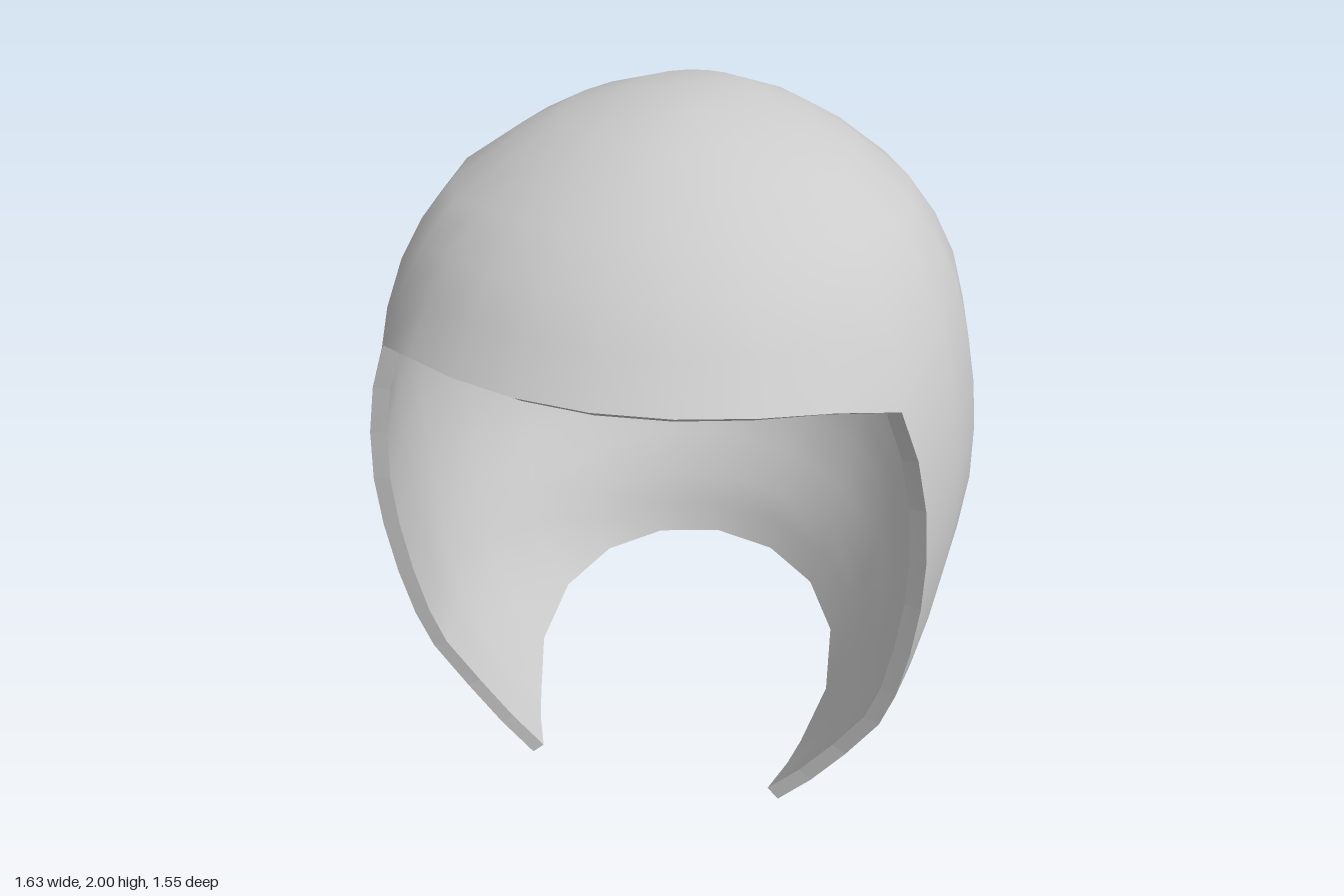
import * as THREE from 'three';

// Horizontal sections, crown to chin: [y, half width, z of widest point, back z, front z]
const SECTIONS = [
  [2.00, 0, -0.10, -0.10, -0.10],
  [1.985, 0.16, -0.09, -0.27, 0.14],
  [1.94, 0.32, -0.06, -0.38, 0.28],
  [1.88, 0.44, -0.04, -0.47, 0.41],
  [1.78, 0.59, 0, -0.585, 0.56],
  [1.68, 0.67, 0.01, -0.655, 0.67],
  [1.57, 0.73, 0.02, -0.71, 0.74],
  [1.44, 0.77, 0.03, -0.745, 0.85],
  [1.25, 0.81, 0.04, -0.765, 0.95],
  [1.03, 0.815, 0.04, -0.755, 1.03],
  [0.80, 0.79, 0.07, -0.70, 1.08],
  [0.55, 0.735, 0.14, -0.56, 1.10],
  [0.37, 0.67, 0.17, -0.52, 1.10],
  [0.15, 0.53, 0.18, -0.48, 0.90],
  [0, 0.41, 0.12, -0.45, 0.70],
];
const FACE_EDGE = [[0, 0.32], [0.2, 0.33], [0.6, 0.385], [1, 0.43], [1.44, 0.46]];      // y -> z
const NECK_EDGE = [[-0.52, 0.36], [-0.35, 0.29], [-0.15, 0.205], [0, 0.13], [0.15, 0.05], [0.32, 0]]; // z -> y
const BROW_Y = 1.44;
const BROW = [1.44, 1.49, 1.51, 1.518, 1.52]; // brow height from the corner to the middle

const WIDEST = 5, CORNER = 7, FRONT = 11;     // column numbers counted from the back
const RING = FRONT * 2, STRIP = CORNER * 2 + 1;
const DOME_ROWS = 7, SIDE_ROWS = 10;
const THICKNESS = 0.045;

const { lerp, clamp } = THREE.MathUtils;

function lookup(table, v) {
  let i = 0;
  while (i < table.length - 2 && v > table[i + 1][0]) i++;
  const [a, b] = [table[i], table[i + 1]];
  return lerp(a[1], b[1], clamp((v - a[0]) / (b[0] - a[0]), 0, 1));
}

function section(t) {
  const i = Math.min(Math.floor(t), SECTIONS.length - 2);
  return SECTIONS[i].map((v, k) => lerp(v, SECTIONS[i + 1][k], t - i));
}

function levelOf(y) {
  let i = 0;
  while (i < SECTIONS.length - 2 && y < SECTIONS[i + 1][0]) i++;
  return i + (SECTIONS[i][0] - y) / (SECTIONS[i][0] - SECTIONS[i + 1][0]);
}

// Angle on a section where the face opening cuts it
function edgeAngle(t) {
  const [y, , zc, , zf] = section(Math.max(t, levelOf(BROW_Y)));
  return Math.asin((lookup(FACE_EDGE, y) - zc) / (zf - zc));
}

// Point on the outer surface; negative columns lie on the -x side
function surfacePoint(column, t) {
  const i = Math.abs(column);
  const [y, w, zc, zb, zf] = section(t);
  const edge = edgeAngle(t);
  let a;
  if (i <= WIDEST) a = (i / WIDEST - 1) * Math.PI / 2;
  else if (i <= CORNER) a = edge * (i - WIDEST) / (CORNER - WIDEST);
  else a = lerp(edge, Math.PI / 2, (i - CORNER) / (FRONT - CORNER));
  const depth = a < 0 ? zc - zb : zf - zc;
  const x = i === 0 || i === FRONT ? 0 : Math.sign(column) * w * Math.cos(a);
  return [x, y, zc + depth * Math.sin(a)];
}

// Level at which a column meets the sloping neck edge
function neckLevel(column) {
  let y = 0.2;
  for (let n = 0; n < 40; n++) {
    y = lerp(y, lookup(NECK_EDGE, surfacePoint(column, levelOf(y))[2]), 0.5);
  }
  return levelOf(y);
}

function makeGeometry(positions, indices) {
  const g = new THREE.BufferGeometry();
  g.setAttribute('position', new THREE.Float32BufferAttribute(positions, 3));
  g.setIndex(indices);
  g.computeVertexNormals();
  return g;
}

function outerGeometry() {
  const points = [...surfacePoint(0, 0)], index = [];
  // Dome: closed rings from the crown to the brow
  for (let r = 1; r <= DOME_ROWS; r++) {
    for (let j = 0; j < RING; j++) {
      const c = j <= FRONT ? j : j - RING;
      const brow = BROW[Math.max(0, Math.abs(c) - CORNER)];
      points.push(...surfacePoint(c, levelOf(brow) * r / DOME_ROWS));
    }
  }
  // Sides and back: open strips from the brow level to the neck edge
  const top = levelOf(BROW_Y);
  for (let r = 1; r <= SIDE_ROWS; r++) {
    for (let c = -CORNER; c <= CORNER; c++) {
      points.push(...surfacePoint(c, lerp(top, neckLevel(c), r / SIDE_ROWS)));
    }
  }
  const id = (r, c) => r === 0 ? 0
    : r <= DOME_ROWS ? 1 + (r - 1) * RING + (c + RING) % RING
    : 1 + DOME_ROWS * RING + (r - DOME_ROWS - 1) * STRIP + c + CORNER;
  for (let r = 0; r < DOME_ROWS + SIDE_ROWS; r++) {
    const reach = r < DOME_ROWS ? FRONT : CORNER;
    for (let c = -reach; c < reach; c++) {
      const a = id(r, c), b = id(r, c + 1), d = id(r + 1, c + 1), e = id(r + 1, c);
      if (r > 0) index.push(a, b, d);
      index.push(a, d, e);
    }
  }
  return makeGeometry(points, index);
}

// Same surface moved inwards and turned to face the head
function innerGeometry(outer) {
  const p = outer.attributes.position.array, n = outer.attributes.normal.array;
  const points = Array.from(p, (v, i) => v - n[i] * THICKNESS);
  return makeGeometry(points, Array.from(outer.index.array).reverse());
}

// Flat band joining both surfaces along every open edge
function rimGeometry(outer, inner) {
  const ix = outer.index.array, edges = new Map();
  for (let i = 0; i < ix.length; i += 3) {
    for (let k = 0; k < 3; k++) {
      const a = ix[i + k], b = ix[i + (k + 1) % 3];
      edges.set(a + '_' + b, [a, b]);
    }
  }
  const points = [], index = [];
  const put = (g, i) => points.push(...g.attributes.position.array.slice(i * 3, i * 3 + 3));
  for (const [a, b] of edges.values()) {
    if (edges.has(b + '_' + a)) continue;
    const n = points.length / 3;
    put(outer, b); put(outer, a); put(inner, a); put(inner, b);
    index.push(n, n + 1, n + 2, n, n + 2, n + 3);
  }
  return makeGeometry(points, index);
}

export function createModel() {
  const group = new THREE.Group();
  group.name = 'helmet';
  const material = new THREE.MeshStandardMaterial({ color: 0xcccccc });
  const outer = outerGeometry();
  const inner = innerGeometry(outer);
  const parts = { outerShell: outer, innerShell: inner, rim: rimGeometry(outer, inner) };
  for (const [name, geometry] of Object.entries(parts)) {
    const mesh = new THREE.Mesh(geometry, material);
    mesh.name = name;
    group.add(mesh);
  }
  return group;
}
